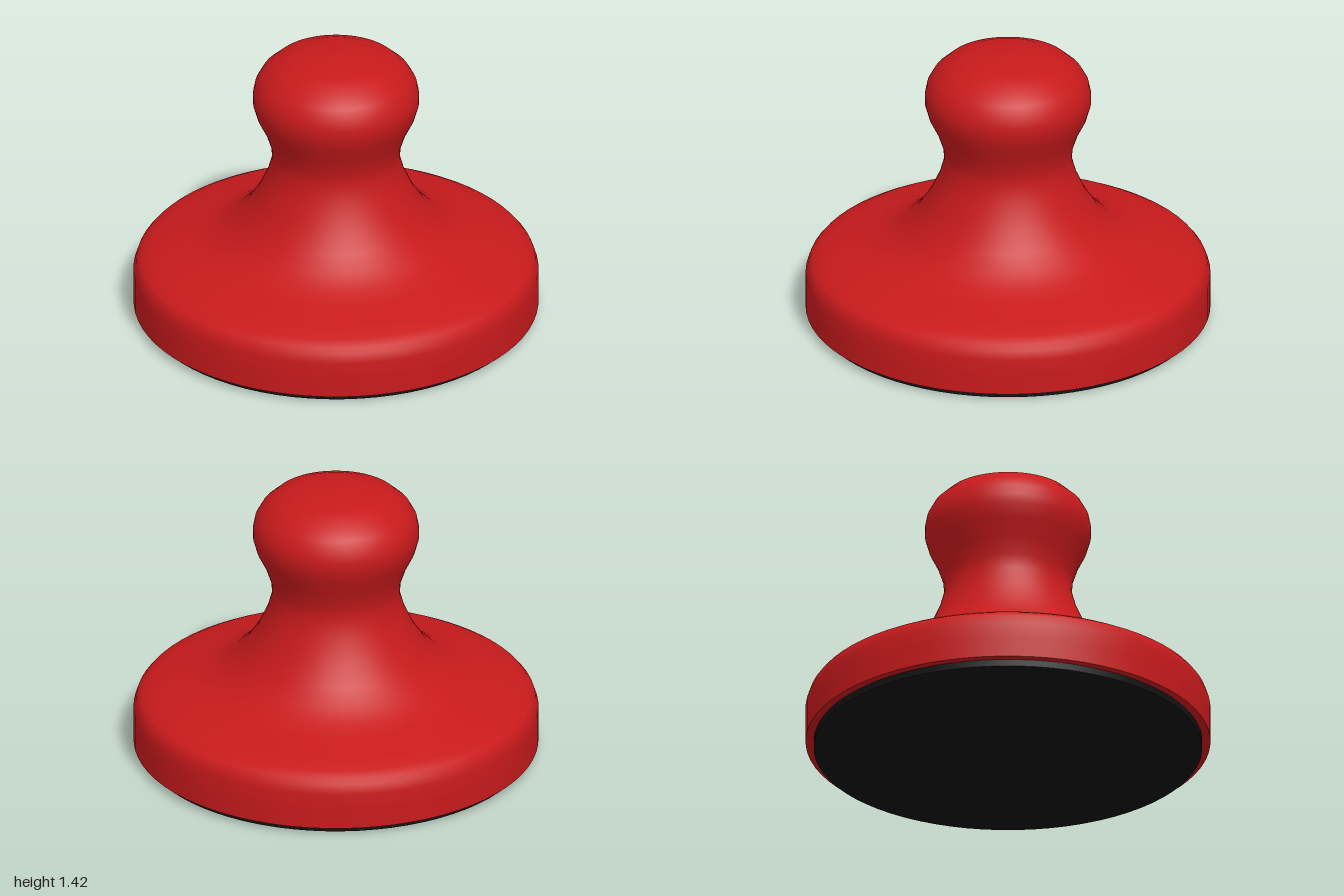
import * as THREE from 'three';

const SEGMENTS = 72;

// Turned part from [radius, height] pairs, listed bottom to top
function turned(name, profile, material) {
  const points = profile.map(([r, y]) => new THREE.Vector2(r, y));
  const mesh = new THREE.Mesh(new THREE.LatheGeometry(points, SEGMENTS), material);
  mesh.name = name;
  return mesh;
}

export function createModel() {
  const group = new THREE.Group();
  group.name = 'handStamp';
  const red = new THREE.MeshStandardMaterial({ color: 0xc81a1c });
  const black = new THREE.MeshStandardMaterial({ color: 0x121212 });

  // Base rim, flared shoulder, waist and rounded knob in one smooth sweep
  group.add(turned('handle', [
    [1, 0.035], [1, 0.13], [1, 0.22], [0.985, 0.265], [0.965, 0.29],
    [0.92, 0.315], [0.83, 0.346], [0.7, 0.382], [0.61, 0.416], [0.53, 0.467],
    [0.455, 0.54], [0.39, 0.64], [0.34, 0.75], [0.315, 0.84], [0.32, 0.91],
    [0.35, 1.0], [0.39, 1.08], [0.41, 1.15], [0.41, 1.2], [0.4, 1.25],
    [0.37, 1.305], [0.31, 1.36], [0.225, 1.395], [0.12, 1.41], [0, 1.417],
  ], red));

  // Flat underside of the base, kept separate for a sharp edge
  group.add(turned('underside', [[0, 0.035], [1, 0.035]], red));

  // Thin dark pad under the base
  const pad = new THREE.Mesh(new THREE.CylinderGeometry(0.96, 0.96, 0.036, SEGMENTS), black);
  pad.name = 'pad';
  pad.position.y = 0.018;
  group.add(pad);

  return group;
}
